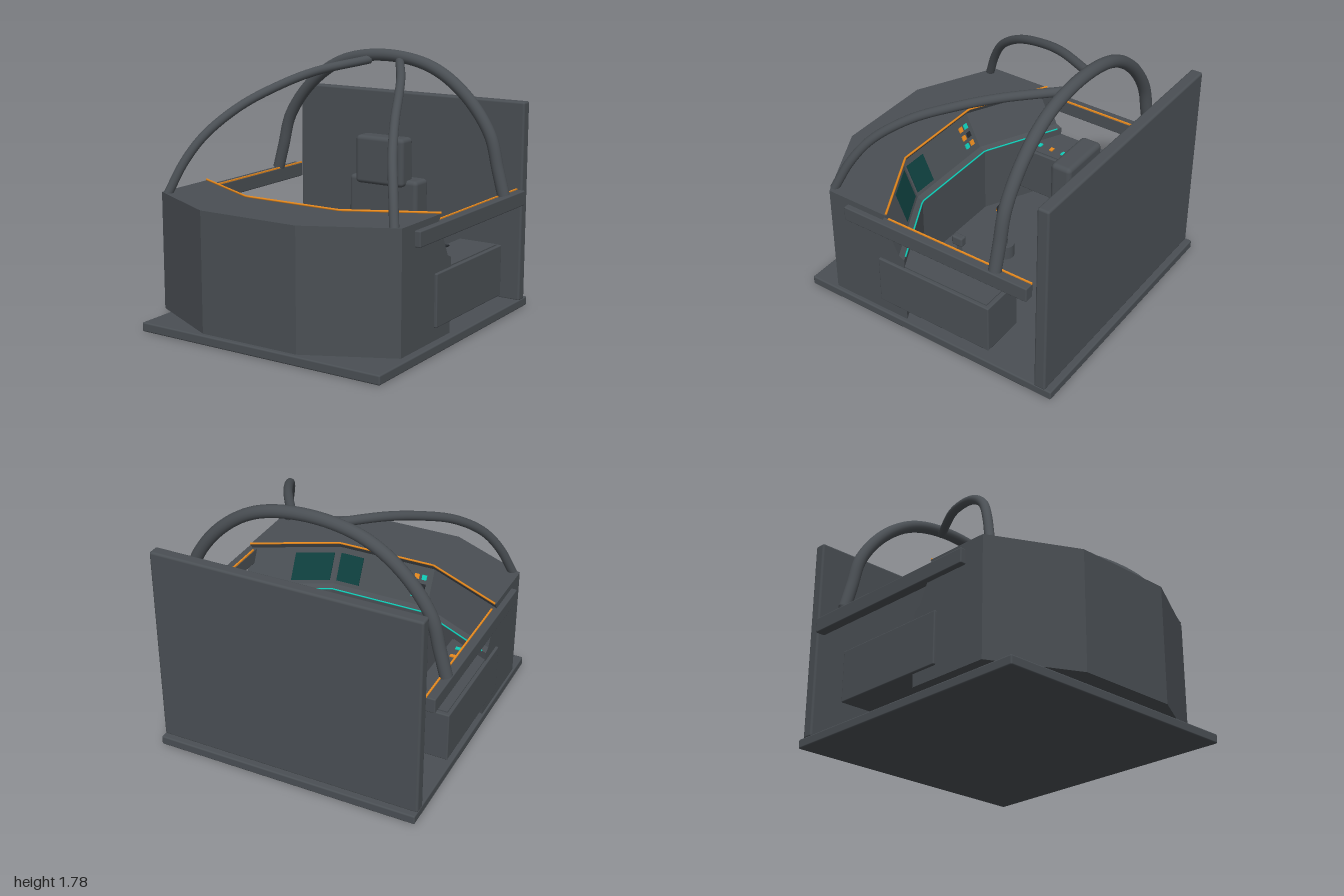
import * as THREE from 'three';
import { RoundedBoxGeometry } from 'three/addons/geometries/RoundedBoxGeometry.js';

const material = (name, color, side = THREE.FrontSide) => {
  const m = new THREE.MeshStandardMaterial({ color, side });
  m.name = name;
  return m;
};

export function createModel() {
  const model = new THREE.Group();
  model.name = 'cockpit';
  const hull = material('hull grey', 0x4a4f54, THREE.DoubleSide);
  const dark = material('dark grey', 0x24282c);
  const orange = material('orange trim', 0xe88a1e);
  const teal = material('teal light', 0x10cdb8);
  const screen = material('screen teal', 0x0e3f3e);

  const add = (name, geometry, mat) => {
    const mesh = new THREE.Mesh(geometry, mat);
    mesh.name = name;
    model.add(mesh);
    return mesh;
  };
  // Box given by its limits; r rounds the edges
  const box = (name, mat, [x0, x1], [y0, y1], [z0, z1], r = 0) => {
    const size = [x1 - x0, y1 - y0, z1 - z0];
    const g = r ? new RoundedBoxGeometry(...size, 3, r) : new THREE.BoxGeometry(...size);
    return add(name, g.translate((x0 + x1) / 2, (y0 + y1) / 2, (z0 + z1) / 2), mat);
  };
  const tube = (name, mat, points, r, segments = 48) => {
    const curve = new THREE.CatmullRomCurve3(points.map(p => new THREE.Vector3(...p)));
    return add(name, new THREE.TubeGeometry(curve, segments, r, 16), mat);
  };
  const span = (c, w) => [c - w / 2, c + w / 2];

  // Floor and rear wall
  box('floor', hull, [-0.917, 0.917], [0.005, 0.068], [-1, 0.945], 0.01);
  box('rearWall', hull, [-0.917, 0.917], [0.06, 1.45], [-0.955, -0.873], 0.015);

  // Dashboard: one profile swept across four stations, the outer two swept back
  const stations = [0.92, 0.36, -0.36, -0.92];
  const sweep = x => -0.285 * Math.max(0, Math.abs(x) - 0.36) / 0.56;
  const profile = [[0.997, 0.105], [0.997, 0.9], [0.535, 0.9], [0.56, 0.86],
    [0.445, 0.62], [0.403, 0.6], [0.403, 0.105]];
  const dash = new THREE.ExtrudeGeometry(
    new THREE.Shape(profile.map(p => new THREE.Vector2(...p))),
    { depth: 3, steps: 3, bevelEnabled: false });
  dash.rotateY(-Math.PI / 2);
  const dp = dash.attributes.position;
  for (let i = 0; i < dp.count; i++) {
    const x = stations[Math.round(-dp.getX(i))];
    dp.setXYZ(i, x, dp.getY(i), dp.getZ(i) + sweep(x));
  }
  dash.computeVertexNormals();
  add('dashboard', dash, hull);

  // Glowing trim lines along the dashboard edges
  const trimLine = (name, mat, z, y, end, r) => {
    const path = new THREE.CurvePath();
    const pts = [end, 0.36, -0.36, -end].map(x => new THREE.Vector3(x, y, z + sweep(x)));
    for (let i = 0; i < 3; i++) path.add(new THREE.LineCurve3(pts[i], pts[i + 1]));
    add(name, new THREE.TubeGeometry(path, 60, r, 6), mat);
  };
  trimLine('dashTopTrim', orange, 0.535, 0.905, 0.92, 0.008);
  trimLine('dashLowerTrim', teal, 0.403, 0.6, 0.89, 0.006);

  // Thin plate lying on the sloped instrument face; s runs up the slope
  const plate = (name, mat, [x0, x1], [s0, s1], thick) => {
    const g = new THREE.BoxGeometry(x1 - x0, s1 - s0, thick);
    const p = g.attributes.position;
    for (let i = 0; i < p.count; i++) {
      const x = (x0 + x1) / 2 - p.getX(i);
      const s = (s0 + s1) / 2 + p.getY(i), t = p.getZ(i) + thick / 2;
      p.setXYZ(i, x, 0.62 + 0.24 * s + 0.43 * t, 0.445 + 0.115 * s - 0.9 * t + sweep(x));
    }
    g.computeVertexNormals();
    add(name, g, mat);
  };
  plate('centreScreen', screen, [0.17, 0.345], [0.1, 0.85], 0.006);
  plate('angledScreen', screen, [0.39, 0.635], [0.1, 0.85], 0.006);
  [[teal, orange], [orange, dark], [orange, teal]].forEach((row, r) =>
    row.forEach((mat, c) =>
      plate('dashButton', mat, span(-0.245 - c * 0.055, 0.035), span(0.25 + r * 0.24, 0.13), 0.009)));

  for (const s of [1, -1]) {
    const side = (a, b) => (s > 0 ? [a, b] : [-b, -a]);
    // Side rail with its trim
    box('sideRail', hull, side(0.888, 0.958), [0.755, 0.857], [-0.837, 0.565], 0.008);
    box('railTrim', orange, side(0.89, 0.902), [0.852, 0.864], [-0.837, 0.25]);
    // Side console with raised top and buttons
    box('sideConsole', hull, side(0.62, 0.938), [0.19, 0.537], [-0.545, 0.32], 0.008);
    box('consoleTop', hull, side(0.64, 0.915), [0.53, 0.545], [-0.517, 0.3]);
    [orange, teal, orange, teal].forEach((mat, i) =>
      box('consoleButton', mat, side(0.692, 0.73), [0.544, 0.553], span(-0.13 + i * 0.097, 0.026)));
    // Canopy strut
    tube('canopyStrut', hull, [[0.868, 0.89, 0.715], [0.80, 1.10, 0.62], [0.72, 1.27, 0.50],
      [0.60, 1.44, 0.28], [0.47, 1.56, 0.02], [0.34, 1.64, -0.22], [0.12, 1.705, -0.57]]
      .map(([x, y, z]) => [s * x, y, z]), 0.03);
  }

  // Roll bar arching over the seat
  const half = [[0.922, 0.86], [0.875, 1.03], [0.81, 1.26], [0.62, 1.51], [0.36, 1.68]];
  const arch = [...half.map(([x, y]) => [-x, y, -0.587]), [0, 1.74, -0.587],
    ...half.reverse().map(([x, y]) => [x, y, -0.587])];
  tube('rollBar', hull, arch, 0.042, 80);

  // Seat
  box('seatBack', hull, [-0.275, 0.275], [0.14, 0.885], [-0.717, -0.547], 0.03);
  box('headrest', hull, [-0.193, 0.193], [0.84, 1.18], [-0.642, -0.495], 0.03);

  // Throttle lever on the left console
  box('throttleSlot', dark, [0.652, 0.68], [0.544, 0.553], [-0.3, 0.08]);
  const lever = box('throttleStem', hull, [-0.011, 0.011], [0, 0.13], [-0.011, 0.011]);
  lever.position.set(0.65, 0.545, -0.138);
  lever.rotation.x = 0.2;
  box('throttleKnob', hull, [0.622, 0.672], [0.662, 0.73], [-0.153, -0.073], 0.012);

  // Control stick
  add('stickBase', new THREE.CylinderGeometry(0.063, 0.063, 0.1, 24).translate(0, 0.155, -0.025), hull);
  const stick = new THREE.Group();
  stick.name = 'controlStick';
  const shaft = new THREE.Mesh(new THREE.CylinderGeometry(0.018, 0.02, 0.22, 16).translate(0, 0.11, 0), hull);
  const grip = new THREE.Mesh(new THREE.CapsuleGeometry(0.028, 0.07, 6, 16).translate(0, 0.25, 0), dark);
  const trigger = new THREE.Mesh(new THREE.BoxGeometry(0.014, 0.02, 0.012).translate(0, 0.27, 0.03), orange);
  shaft.name = 'stickShaft';
  grip.name = 'stickGrip';
  trigger.name = 'stickTrigger';
  stick.add(shaft, grip, trigger);
  stick.position.set(0, 0.2, -0.025);
  stick.rotation.x = 0.14;
  model.add(stick);

  return model;
}
